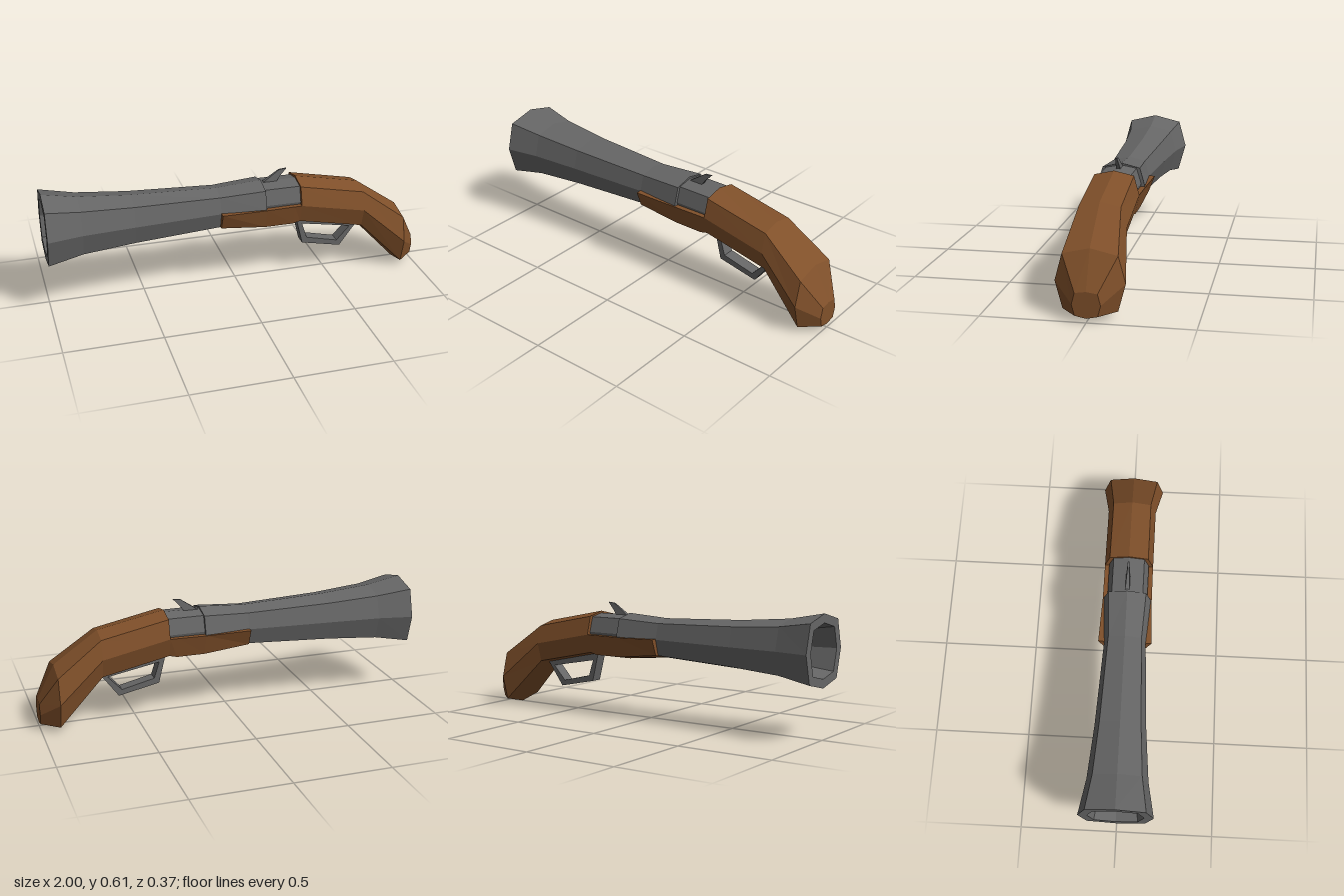
import * as THREE from 'three';

const metal = new THREE.MeshStandardMaterial({ color: 0x666666, flatShading: true });
const wood = new THREE.MeshStandardMaterial({ color: 0x80502a, flatShading: true });

// Eight-sided loft along x. Section: [x, topY, shoulderY, midY, lowY, bottomY, shoulderZ, midZ, lowZ]
function loft(sections) {
  const pos = [], index = [];
  for (const [x, t, s, m, l, b, sz, mz, lz] of sections) {
    pos.push(x, t, 0, x, s, sz, x, m, mz, x, l, lz, x, b, 0, x, l, -lz, x, m, -mz, x, s, -sz);
  }
  const last = (sections.length - 1) * 8;
  for (let i = 0; i < last; i += 8) {
    for (let k = 0; k < 8; k++) {
      const n = (k + 1) % 8;
      index.push(i + k, i + n, i + 8 + n, i + k, i + 8 + n, i + 8 + k);
    }
  }
  // end caps
  for (let k = 1; k < 7; k++) {
    index.push(0, k + 1, k, last, last + k, last + k + 1);
  }
  const geo = new THREE.BufferGeometry();
  geo.setAttribute('position', new THREE.Float32BufferAttribute(pos, 3));
  geo.setIndex(index);
  const flat = geo.toNonIndexed();
  flat.computeVertexNormals();
  return flat;
}

// Regular octagon section: x, centre height, half height, half width
const octagon = (x, cy, h, w) =>
  [x, cy + h, cy + h * 0.8, cy, cy - h * 0.82, cy - h, w * 0.79, w, w * 0.78];

function polygon(points, Type = THREE.Shape) {
  return new Type(points.map(([x, y]) => new THREE.Vector2(x, y)));
}

function extrudeCentred(shape, depth) {
  const geo = new THREE.ExtrudeGeometry(shape, { depth, bevelEnabled: false });
  return geo.translate(0, 0, -depth / 2);
}

export function createModel() {
  const group = new THREE.Group();
  const add = (name, geo, mat) => {
    const mesh = new THREE.Mesh(geo, mat);
    mesh.name = name;
    group.add(mesh);
  };

  // Flared barrel: bore floor, bore wall, muzzle rim, then the outside
  add('barrel', loft([
    octagon(-0.5, 0.435, 0.085, 0.09),
    octagon(-0.82, 0.435, 0.105, 0.11),
    octagon(-1, 0.435, 0.135, 0.14),
    octagon(-1, 0.435, 0.18, 0.187),
    octagon(-0.82, 0.435, 0.145, 0.153),
    octagon(-0.55, 0.434, 0.123, 0.13),
    octagon(-0.1, 0.437, 0.103, 0.107),
    octagon(0.14, 0.44, 0.115, 0.123),
  ]), metal);

  // Narrower breech between barrel and grip
  add('breech', loft([0.13, 0.34].map((x) =>
    [x, 0.545, 0.53, 0.45, 0.36, 0.345, 0.08, 0.104, 0.08])), metal);

  // Flat-topped wooden cradle under the barrel
  add('foreStock', loft([
    [-0.1, 0.44, 0.44, 0.44, 0.355, 0.333, 0.1, 0.138, 0.105],
    [0.14, 0.435, 0.435, 0.435, 0.328, 0.31, 0.1, 0.128, 0.1],
    [0.29, 0.437, 0.437, 0.437, 0.328, 0.312, 0.1, 0.127, 0.1],
    [0.33, 0.437, 0.437, 0.437, 0.338, 0.322, 0.1, 0.127, 0.1],
  ]), wood);

  // Curved grip ending in a tapered butt
  add('grip', loft([
    [0.33, 0.556, 0.534, 0.437, 0.338, 0.322, 0.1, 0.127, 0.1],
    [0.68, 0.485, 0.462, 0.365, 0.265, 0.247, 0.1, 0.128, 0.1],
    [0.91, 0.325, 0.295, 0.165, 0.033, 0.002, 0.13, 0.165, 0.13],
    [1, 0.148, 0.14, 0.086, 0.033, 0.022, 0.053, 0.067, 0.053],
  ]), wood);

  // Hammer, thinner towards its tip
  const hammer = extrudeCentred(
    polygon([[0.14, 0.535], [0.22, 0.535], [0.245, 0.57], [0.28, 0.607], [0.24, 0.603]]), 0.024);
  const p = hammer.attributes.position;
  for (let i = 0; i < p.count; i++) {
    const t = (p.getY(i) - 0.535) / 0.072;
    p.setZ(i, p.getZ(i) * (1 - 0.65 * t));
  }
  hammer.computeVertexNormals();
  add('hammer', hammer, metal);

  // Trigger guard loop
  const guard = polygon([[0.33, 0.33], [0.37, 0.17], [0.585, 0.125], [0.685, 0.26]]);
  guard.holes.push(polygon([[0.367, 0.285], [0.64, 0.235], [0.568, 0.157], [0.395, 0.198]], THREE.Path));
  add('triggerGuard', extrudeCentred(guard, 0.064), metal);

  return group;
}
